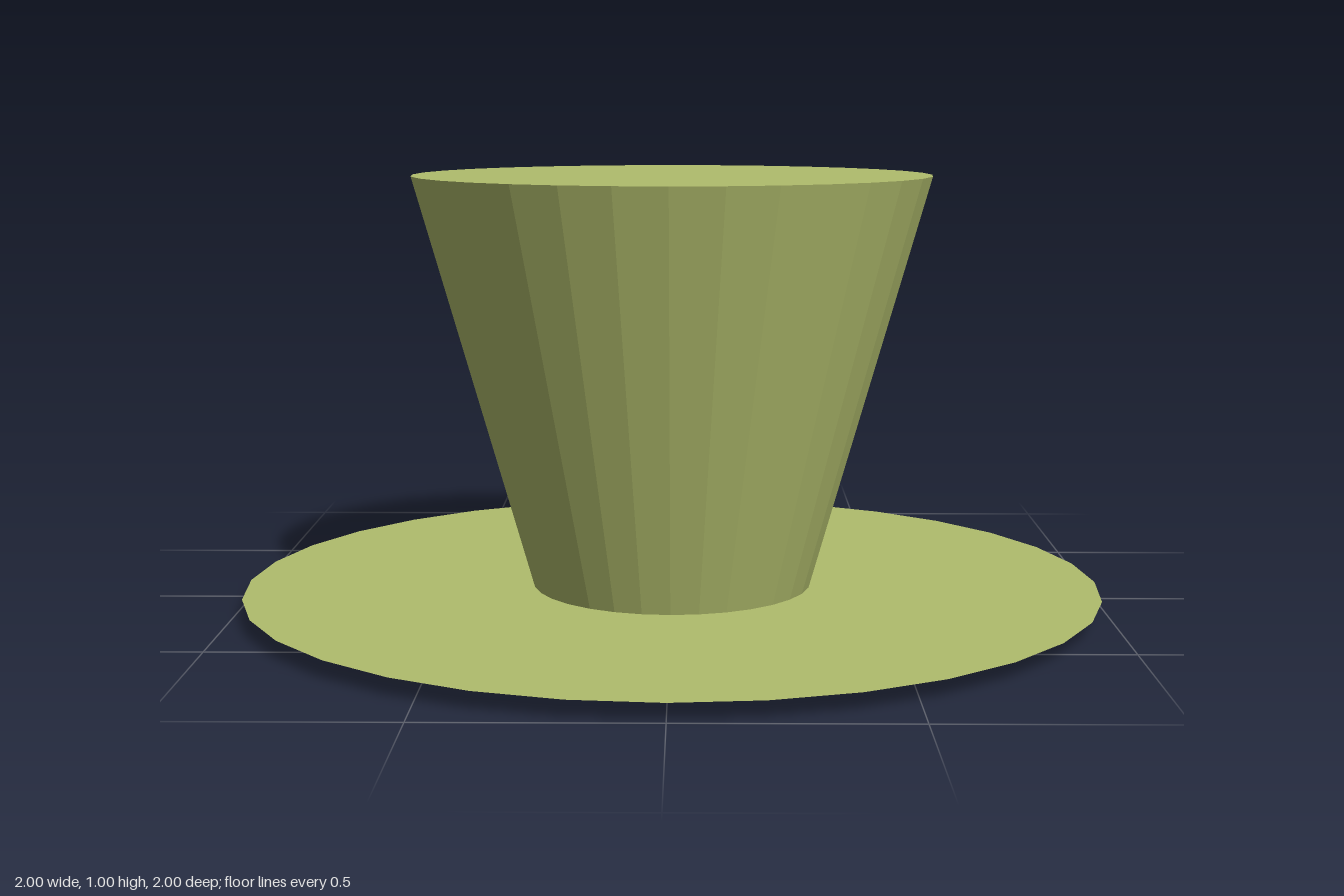
import * as THREE from 'three';

export function createModel() {
  const model = new THREE.Group();
  const sides = 32;
  const color = 0xb0bc6c;

  // Solid tapered crown, wider at the top
  const crown = new THREE.Mesh(
    new THREE.CylinderGeometry(0.6, 0.315, 1, sides),
    new THREE.MeshStandardMaterial({ color, flatShading: true })
  );
  crown.name = 'crown';
  crown.position.y = 0.5;
  model.add(crown);

  // Paper-thin round brim just above the crown's lower end
  const brim = new THREE.Mesh(
    new THREE.CircleGeometry(1, sides),
    new THREE.MeshStandardMaterial({ color, flatShading: true, side: THREE.DoubleSide })
  );
  brim.name = 'brim';
  brim.rotation.x = -Math.PI / 2;
  brim.position.y = 0.04;
  model.add(brim);

  return model;
}
